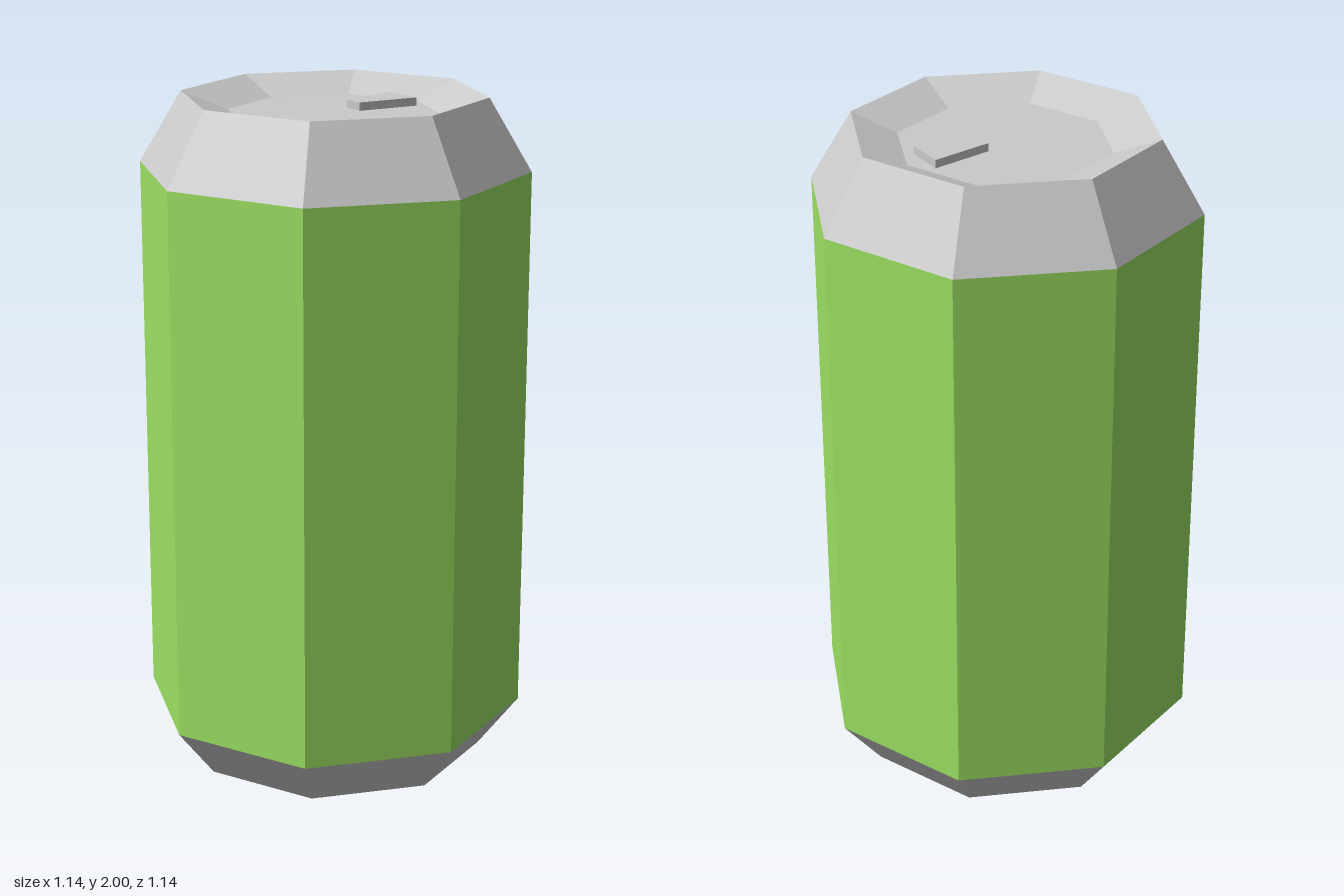
import * as THREE from 'three';

export function createModel() {
  const mat = (name, color) =>
    Object.assign(new THREE.MeshStandardMaterial({ color, flatShading: true }), { name });
  const metal = mat('light grey metal', 0xcacaca);
  const green = mat('green paint', 0x9be062);

  const can = new THREE.Group();
  can.name = 'drinkCan';

  const add = (name, geometry, material) => {
    const mesh = new THREE.Mesh(geometry, material);
    mesh.name = name;
    can.add(mesh);
    return mesh;
  };

  // Eight-sided ring surface from a [radius, height] profile, bottom to top
  const ring = (profile) =>
    new THREE.LatheGeometry(profile.map(([r, y]) => new THREE.Vector2(r, y)), 8);

  // Closed base with chamfered lower edge
  add('base', ring([[0, 0], [0.45, 0], [0.57, 0.155]]), metal);

  // Painted wall
  add('body', ring([[0.57, 0.155], [0.57, 1.79]]), green);

  // Tapered shoulder, rim and shallow recessed lid
  add('lid', ring([[0.57, 1.79], [0.445, 2], [0.31, 1.948], [0, 1.948]]), metal);

  // Wedge-shaped pull tab lying on the lid
  const outline = new THREE.Shape([
    new THREE.Vector2(0.07, -0.03),
    new THREE.Vector2(0.255, -0.06),
    new THREE.Vector2(0.255, 0.06),
    new THREE.Vector2(0.07, 0.03),
  ]);
  const tab = add('pullTab', new THREE.ExtrudeGeometry(outline, { depth: 0.025, bevelEnabled: false }), metal);
  tab.rotation.x = -Math.PI / 2;
  tab.position.y = 1.947;

  return can;
}
